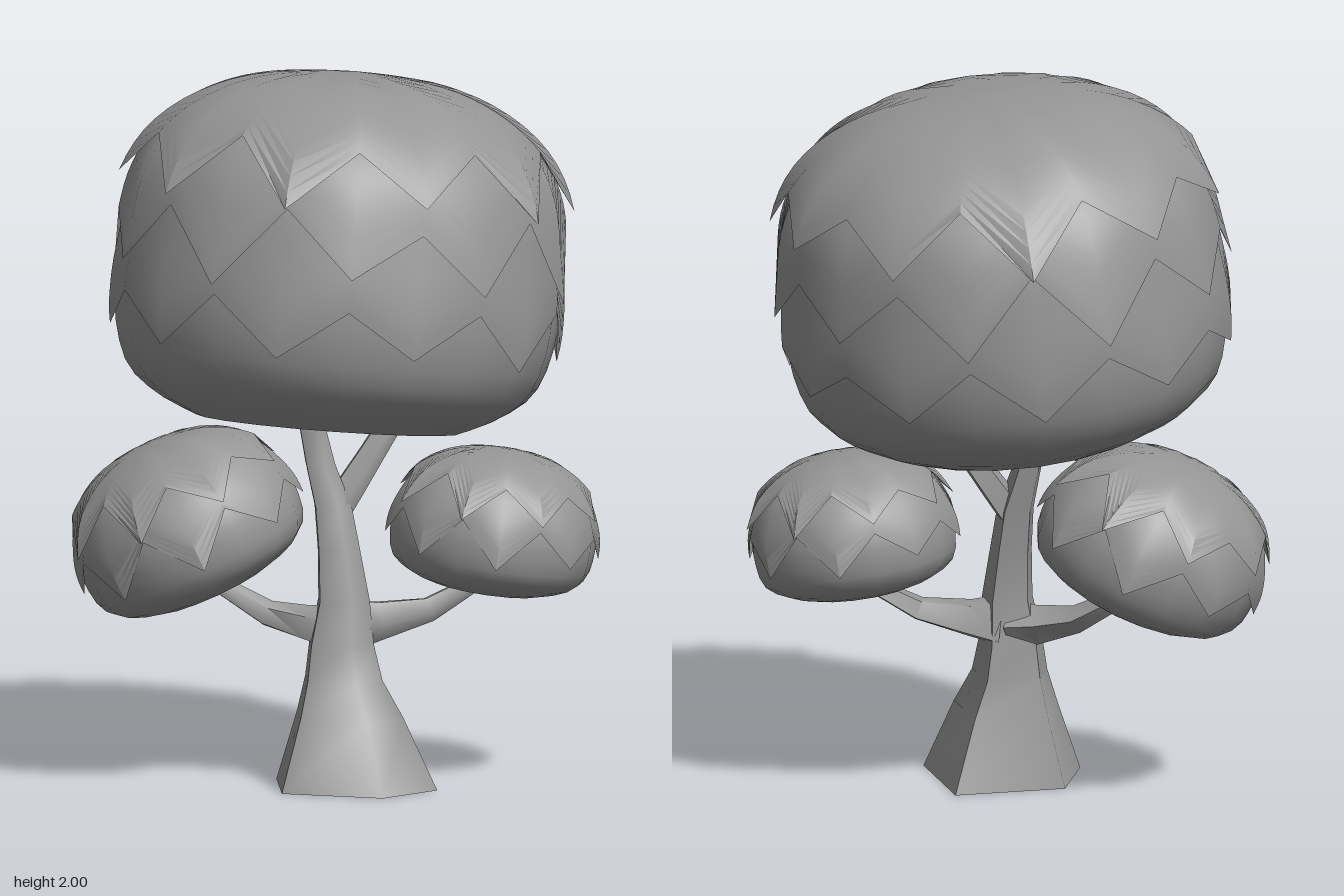
import * as THREE from 'three';
import { toCreasedNormals } from 'three/addons/utils/BufferGeometryUtils.js';
import { ParametricGeometry } from 'three/addons/geometries/ParametricGeometry.js';

const material = new THREE.MeshStandardMaterial({ color: 0x959595, side: THREE.DoubleSide });

// Corner angles and relative radii of the uneven five-sided limb section
const corners = [[0.41, 1], [1.29, 1], [2.55, 1], [3.73, 1], [5, 1.14]];

// Tapering limb through [x, y, z, radius] stations, open at the start and capped at the tip
function limb(name, path, level = false) {
  const sides = corners.length, pos = [], idx = [];
  const up = new THREE.Vector3(0, 1, 0), q = new THREE.Quaternion();
  const pts = path.map(p => new THREE.Vector3(p[0], p[1], p[2]));
  const last = pts.length - 1;
  pts.forEach((p, i) => {
    const dir = pts[Math.min(i + 1, last)].clone().sub(pts[Math.max(i - 1, 0)]).normalize();
    q.setFromUnitVectors(up, level ? up : dir);
    for (const [a, k] of corners) {
      const r = path[i][3] * k;
      const v = new THREE.Vector3(Math.cos(a) * r, 0, Math.sin(a) * r).applyQuaternion(q).add(p);
      pos.push(v.x, v.y, v.z);
    }
  });
  const tip = pos.length / 3;
  pos.push(...pts[last].toArray());
  for (let j = 0; j < sides; j++) {
    const k = (j + 1) % sides;
    for (let i = 0; i < last; i++) {
      const a = i * sides + j, b = i * sides + k;
      idx.push(a, a + sides, b, b, a + sides, b + sides);
    }
    idx.push(tip, last * sides + k, last * sides + j);
  }
  const g = new THREE.BufferGeometry();
  g.setAttribute('position', new THREE.Float32BufferAttribute(pos, 3));
  g.setIndex(idx);
  const mesh = new THREE.Mesh(toCreasedNormals(g, 1.12), material);
  mesh.name = name;
  return mesh;
}

// Surface of revolution along part of a profile; it flares out by lift towards
// a lower edge that zigzags from high to low
function leafShell(name, curve, segs, { start, high, low, lift, phase = 0 }) {
  const edge = j => {
    const k = j % segs;
    return (k % 2 ? low : high) + (low - high) * 0.15 * Math.sin(k * 2.3 + phase * 5);
  };
  const surface = (u, v, target) => {
    const f = u * segs, j = Math.floor(f), w = f - j;
    const end = edge(j) * (1 - w) + edge(j + 1) * w;
    const s = THREE.MathUtils.lerp(start, end, v);
    const p = curve.getPoint(s);
    const r = Math.max(p.x, 0) + lift * (s - start) / (low - start);
    const a = ((f + phase) % segs) / segs * Math.PI * 2;
    target.set(-Math.sin(a) * r, p.y, Math.cos(a) * r);
  };
  const geometry = toCreasedNormals(new ParametricGeometry(surface, segs, 14), 0.7);
  const mesh = new THREE.Mesh(geometry, material);
  mesh.name = name;
  return mesh;
}

function canopy(name, profile, segs, layers) {
  const group = new THREE.Group();
  group.name = name;
  const curve = new THREE.SplineCurve(profile.map(p => new THREE.Vector2(...p)));
  layers.forEach((l, i) =>
    group.add(leafShell(i < layers.length - 1 ? 'leafLayer' + (i + 1) : 'leafBody', curve, segs, l)));
  return group;
}

export function createModel() {
  const tree = new THREE.Group();
  tree.name = 'tree';

  // Flared trunk and its branches
  tree.add(limb('trunk', [
    [0.045, 0, 0.14, 0.25], [0.03, 0.2, 0.13, 0.165], [0.015, 0.3, 0.115, 0.12],
    [0.01, 0.4, 0.105, 0.1], [0.018, 0.52, 0.1, 0.08], [0.005, 0.66, 0.085, 0.066],
    [-0.01, 0.78, 0.07, 0.058], [-0.045, 0.9, 0.055, 0.046], [-0.07, 1.02, 0.045, 0.04]], true));
  tree.add(limb('upperBranch', [
    [-0.01, 0.75, 0.07, 0.045], [0.04, 0.83, 0.05, 0.045], [0.1, 0.92, 0.03, 0.04], [0.165, 1.02, 0.01, 0.036]]));
  tree.add(limb('rightBranch', [
    [0.03, 0.45, 0.085, 0.085], [0.12, 0.458, 0.075, 0.06], [0.26, 0.485, 0.06, 0.038],
    [0.38, 0.55, 0.04, 0.026], [0.43, 0.6, 0.04, 0.02]]));
  tree.add(limb('leftBranch', [
    [0, 0.44, 0.085, 0.074], [-0.08, 0.45, 0.075, 0.055], [-0.19, 0.475, 0.05, 0.04],
    [-0.32, 0.55, 0.01, 0.028], [-0.38, 0.61, 0, 0.02]]));

  // Main crown, open underneath
  const crown = canopy('crown', [
    [0, 0.494], [0.24, 0.472], [0.405, 0.41], [0.525, 0.31], [0.59, 0.18], [0.612, 0.02],
    [0.623, -0.12], [0.613, -0.25], [0.57, -0.37], [0.48, -0.445], [0.37, -0.495]], 20, [
    { start: 0, high: 0.31, low: 0.42, lift: 0.045 },
    { start: 0.2, high: 0.45, low: 0.57, lift: 0.03, phase: 1 },
    { start: 0.32, high: 0.62, low: 0.72, lift: 0.018 },
    { start: 0.4, high: 1, low: 1, lift: 0 }]);
  crown.position.set(0.018, 1.5, 0);
  crown.rotation.set(-0.09, 0, -0.08);
  tree.add(crown);

  // Two small side clumps, closed underneath
  for (const [name, pos, tilt, scale] of [
    ['rightClump', [0.447, 0.73, 0.04], -0.15, 0.98],
    ['leftClump', [-0.425, 0.735, -0.02], 0.43, 1.1]]) {
    const clump = canopy(name, [
      [0, 0.21], [0.13, 0.192], [0.23, 0.13], [0.28, 0.04], [0.295, -0.05],
      [0.268, -0.145], [0.15, -0.195], [0, -0.205]], 16, [
      { start: 0, high: 0.29, low: 0.43, lift: 0.024 },
      { start: 0.2, high: 0.47, low: 0.62, lift: 0.014, phase: 1 },
      { start: 0.3, high: 1, low: 1, lift: 0 }]);
    clump.position.set(...pos);
    clump.rotation.z = tilt;
    clump.scale.setScalar(scale);
    tree.add(clump);
  }
  return tree;
}
